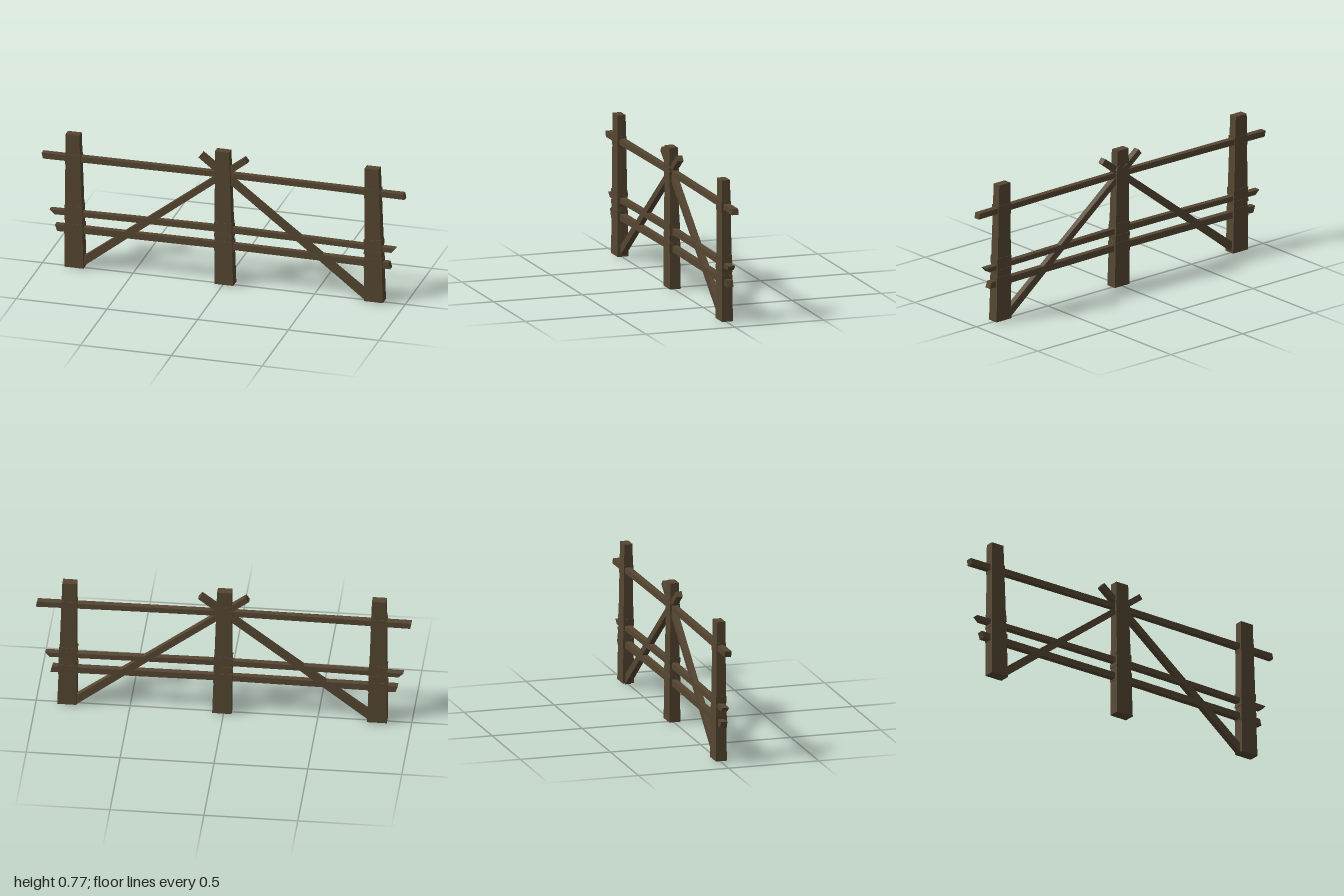
import * as THREE from 'three';

const wood = new THREE.MeshStandardMaterial({ color: 0x554631 });
wood.name = 'dark weathered wood';

// Box along x whose cross-section follows stations [xTop, xBottom, yBottom, yTop, zBack, zFront]
function beamGeometry(stations) {
  const pos = [];
  const rings = stations.map(([xt, xb, y0, y1, z0, z1]) => [
    [xb, y0, z1], [xt, y1, z1], [xt, y1, z0], [xb, y0, z0],
  ]);
  const quad = (a, b, c, d) => pos.push(...a, ...b, ...c, ...a, ...c, ...d);
  for (let i = 0; i < rings.length - 1; i++) {
    const a = rings[i], b = rings[i + 1];
    for (let k = 0; k < 4; k++) {
      const n = (k + 1) % 4;
      quad(a[k], b[k], b[n], a[n]);
    }
  }
  const s = rings[0], e = rings[rings.length - 1];
  quad(s[0], s[1], s[2], s[3]);
  quad(e[3], e[2], e[1], e[0]);
  const g = new THREE.BufferGeometry();
  g.setAttribute('position', new THREE.Float32BufferAttribute(pos, 3));
  g.computeVertexNormals();
  return g;
}

export function createModel() {
  const model = new THREE.Group();
  model.name = 'woodenFence';
  const add = (name, geometry) => {
    const mesh = new THREE.Mesh(geometry, wood);
    mesh.name = name;
    model.add(mesh);
    return mesh;
  };

  const H = 0.762;
  const lerp = THREE.MathUtils.lerp;
  // Posts: [name, bottom left x, bottom right x, top left x, top right x]
  const posts = [
    ['rightPost', -0.87, -0.765, -0.866, -0.79],
    ['middlePost', -0.043, 0.06, -0.043, 0.035],
    ['leftPost', 0.782, 0.885, 0.782, 0.859],
  ];
  // Lashings: [centre height, height, tilt]
  const lashings = [
    [0.618, 0.058, 0], [0.337, 0.036, 0.05], [0.28, 0.022, -0.05], [0.22, 0.058, 0],
  ];
  for (const [name, b0, b1, t0, t1] of posts) {
    // Tapered post
    const g = new THREE.BoxGeometry(1, 1, 1).toNonIndexed();
    const p = g.attributes.position;
    for (let i = 0; i < p.count; i++) {
      const top = p.getY(i) > 0, right = p.getX(i) > 0;
      const x = right ? (top ? t1 : b1) : (top ? t0 : b0);
      p.setXYZ(i, x, top ? H : 0, p.getZ(i) * (top ? 0.046 : 0.061));
    }
    g.computeVertexNormals();
    add(name, g);

    // Bands wrapped around the post where the rails cross
    for (const [y, h, tilt] of lashings) {
      const t = y / H;
      const x0 = lerp(b0, t0, t), x1 = lerp(b1, t1, t);
      const band = add(name + 'Lashing', new THREE.BoxGeometry(x1 - x0 + 0.005, h, lerp(0.061, 0.046, t) + 0.004));
      band.position.set((x0 + x1) / 2, y, 0);
      band.rotation.z = tilt;
    }
  }

  // Horizontal rails with slightly uneven thickness
  add('topRail', beamGeometry([
    [-1, -0.993, 0.603, 0.635, -0.021, 0.016], [-0.58, -0.58, 0.606, 0.638, -0.018, 0.014],
    [0, 0, 0.61, 0.641, -0.016, 0.013], [0.58, 0.58, 0.607, 0.637, -0.018, 0.014],
    [0.993, 1, 0.603, 0.634, -0.021, 0.016],
  ]));
  add('middleRail', beamGeometry([
    [-0.957, -0.93, 0.289, 0.314, -0.02, 0.016], [-0.5, -0.5, 0.293, 0.322, -0.018, 0.014],
    [0, 0, 0.295, 0.328, -0.016, 0.013], [0.5, 0.5, 0.293, 0.322, -0.018, 0.014],
    [0.95, 0.926, 0.289, 0.314, -0.02, 0.016],
  ]));
  add('bottomRail', beamGeometry([
    [-0.927, -0.915, 0.194, 0.23, -0.02, 0.016], [-0.5, -0.5, 0.197, 0.232, -0.018, 0.014],
    [0, 0, 0.2, 0.235, -0.016, 0.013], [0.5, 0.5, 0.197, 0.232, -0.018, 0.014],
    [0.912, 0.922, 0.194, 0.229, -0.02, 0.016],
  ]));

  // Diagonal braces crossing near the top of the middle post
  for (const side of [-1, 1]) {
    const a = new THREE.Vector2(-0.8, 0.012), b = new THREE.Vector2(0.126, 0.724);
    const L = a.distanceTo(b);
    const brace = add(side < 0 ? 'rightBrace' : 'leftBrace', beamGeometry([
      [-L / 2, -L / 2, -0.022, 0.022, -0.018, 0.014],
      [0, 0, -0.018, 0.018, -0.017, 0.013],
      [L / 2, L / 2, -0.016, 0.016, -0.019, 0.015],
    ]));
    const angle = Math.atan2(b.y - a.y, b.x - a.x);
    brace.position.set((a.x + b.x) / 2 * -side, (a.y + b.y) / 2, 0);
    brace.rotation.set(0, 0, -side * angle);
    if (side > 0) {
      brace.rotation.z = Math.PI - angle;
    }

    // Crossed lashing holding the brace to the middle post
    const tie = add('braceLashing', new THREE.BoxGeometry(0.088, 0.03, 0.054));
    tie.position.set(-0.001, 0.645, 0);
    tie.rotation.z = side * 0.5;
  }
  return model;
}
